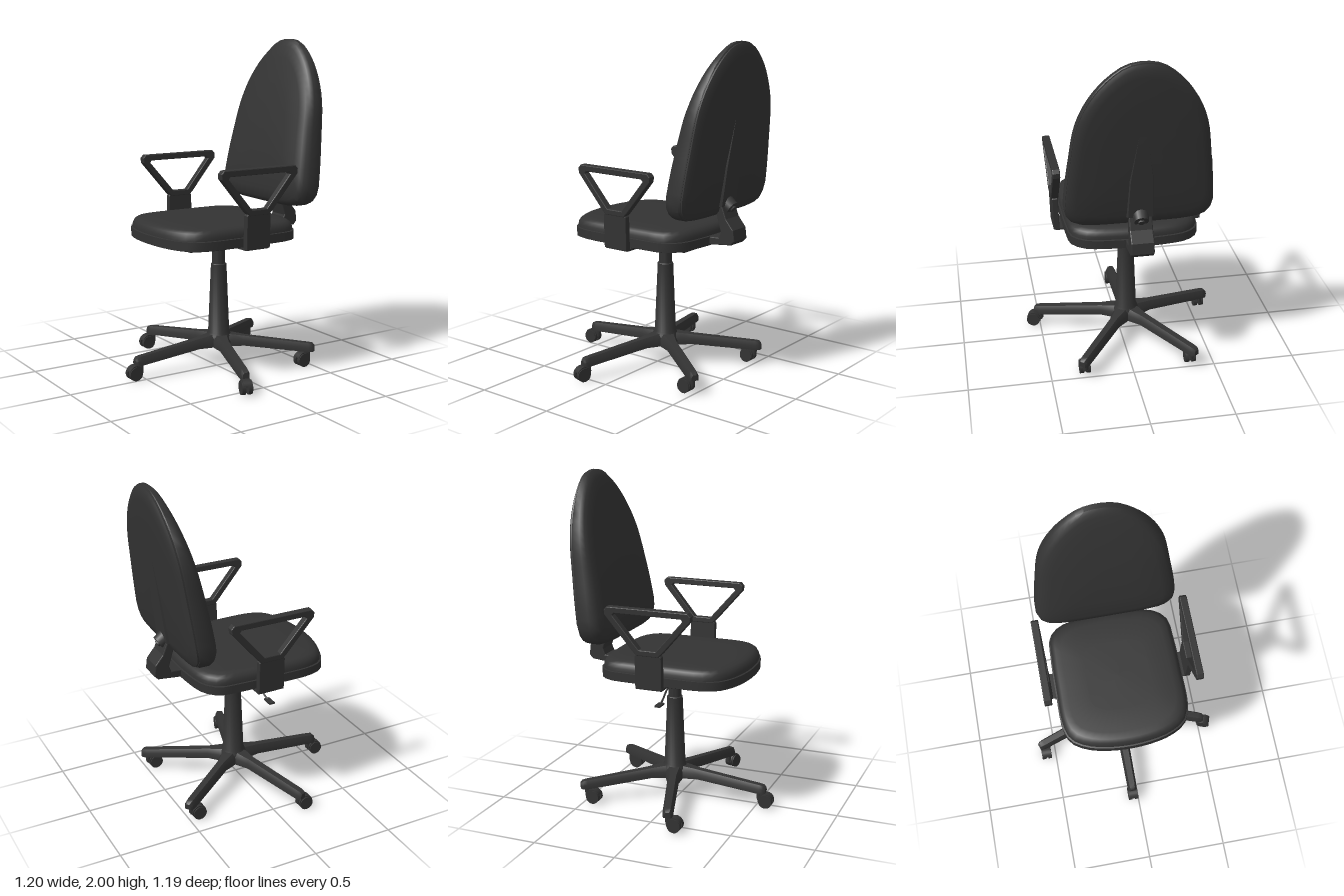
import * as THREE from 'three';
import { toCreasedNormals } from 'three/addons/utils/BufferGeometryUtils.js';

const MAT = new THREE.MeshStandardMaterial({ color: 0x333333 });
const CX = 0.035, CZ = -0.033; // column axis

function add(parent, name, geo, x = 0, y = 0, z = 0) {
  const m = new THREE.Mesh(geo, MAT);
  m.name = name;
  m.position.set(x, y, z);
  parent.add(m);
  return m;
}

// Skin over a list of rings (arrays of [x, y, z]) with equal point counts.
function loft(rings, crease = 0.7) {
  const n = rings[0].length, idx = [];
  for (let i = 0; i < rings.length - 1; i++) {
    for (let j = 0; j < n; j++) {
      const k = (j + 1) % n, a = i * n + j, b = i * n + k;
      idx.push(a, b, b + n, a, b + n, a + n);
    }
  }
  const g = new THREE.BufferGeometry();
  g.setAttribute('position', new THREE.Float32BufferAttribute(rings.flat(2), 3));
  g.setIndex(idx);
  g.computeVertexNormals();
  return toCreasedNormals(g, crease);
}

// Smooth closed outline through 2D points.
function outline(pts, n) {
  const c = new THREE.CatmullRomCurve3(pts.map(([u, v]) => new THREE.Vector3(u, v, 0)), true);
  return c.getSpacedPoints(n).slice(0, n);
}

function extrude(pts, depth, hole, bevel = 0) {
  const v = (a) => a.map(([x, y]) => new THREE.Vector2(x, y));
  const s = new THREE.Shape(v(pts));
  if (hole) s.holes.push(new THREE.Path(v(hole)));
  const g = new THREE.ExtrudeGeometry(s, {
    depth: depth - 2 * bevel, bevelEnabled: bevel > 0, bevelSize: bevel,
    bevelThickness: bevel, bevelOffset: -bevel, bevelSegments: 2,
  });
  return g.translate(0, 0, bevel - depth / 2);
}

function makeSeat(group) {
  // outline as [x, z] around the column axis, one half then mirrored
  const half = [[0.41, 0.12], [0.38, 0.3], [0.31, 0.375], [0.18, 0.39], [-0.05, 0.395],
    [-0.28, 0.39], [-0.37, 0.355], [-0.43, 0.26], [-0.465, 0.1]];
  const pts = [...half.map(([x, z]) => [x, -z]), ...[...half].reverse()];
  const o = outline(pts, 56);
  const ring = ([s, y]) => o.map((p) => [-0.03 + (p.x + 0.03) * s, y, CZ + p.y * s]);
  add(group, 'seatPan', loft([[0, 0.815], [0.97, 0.815], [1, 0.82], [1, 0.872], [0.97, 0.876], [0, 0.876]].map(ring)));
  add(group, 'seatCushion', loft([[0, 0.87], [0.98, 0.87], [0.98, 0.895], [0.955, 0.918],
    [0.91, 0.932], [0.82, 0.938], [0.5, 0.941], [0, 0.942]].map(ring)));
}

function makeBackrest(group) {
  // outline as [z, y], from the top down the -z side and back up
  const half = [[0.08, 1.995], [0.2, 1.915], [0.3, 1.79], [0.365, 1.64], [0.4, 1.42],
    [0.425, 1.2], [0.425, 1.09], [0.38, 1.03], [0.28, 1.008], [0.1, 1.003]];
  const pts = [...half.map(([z, y]) => [-z, y]), ...[...half].reverse()];
  const o = outline(pts, 60);
  const ring = ([s, d]) => o.map((p) => {
    const y = 1.47 + (p.y - 1.47) * s, t = y - 1;
    return [0.447 + t * 0.13 + d * (d < 0 ? 1 - 0.6 * t * t : 1), y, CZ + p.x * s];
  });
  add(group, 'backCushion', loft([[0, 0], [0.99, 0], [1, -0.01], [1, -0.07], [0.97, -0.105],
    [0.92, -0.125], [0.8, -0.14], [0.5, -0.15], [0, -0.152]].map(ring)));
  add(group, 'backShell', loft([[0, 0.036], [0.5, 0.035], [0.85, 0.031], [0.94, 0.024],
    [0.985, 0.01], [0.985, -0.01]].map(ring)));
  // tapering spine raised on the shell
  const spine = [[1.06, 0.085], [1.3, 0.075], [1.62, 0.02]].map(([y, w]) => {
    const x = 0.447 + (y - 1) * 0.13 + 0.02, d = y > 1.6 ? 0.014 : 0.026;
    return [[x, y, CZ - w], [x, y, CZ + w], [x + d, y, CZ + w * 0.85], [x + d, y, CZ - w * 0.85]];
  });
  add(group, 'backSpine', loft(spine, 0.4)).material = MAT;
}

function makeSupport(group) {
  const bracket = [[0.25, 0.83], [0.42, 0.825], [0.56, 0.84], [0.583, 0.865], [0.575, 0.93], [0.525, 0.99],
    [0.49, 1.08], [0.455, 1.08], [0.455, 1.02], [0.488, 0.91], [0.475, 0.875], [0.25, 0.865]];
  add(group, 'backBracket', extrude(bracket, 0.135, null, 0.006), 0, 0, CZ);
  const knob = add(group, 'backKnob', new THREE.CylinderGeometry(0.042, 0.05, 0.06, 12), 0.5, 1.06, CZ);
  knob.rotation.z = -Math.PI / 2 - 0.58;
  const bolt = add(group, 'knobBolt', new THREE.CylinderGeometry(0.02, 0.02, 0.08, 6), 0.5, 1.06, CZ);
  bolt.rotation.z = knob.rotation.z;
}

function makeArm(group, s) {
  const arm = new THREE.Group();
  arm.name = s > 0 ? 'leftArmrest' : 'rightArmrest';
  arm.position.set(0, 0.81, CZ + s * 0.433);
  arm.rotation.x = s * 0.03;
  group.add(arm);
  // triangular loop
  const frame = [[-0.05, 0.2], [0.085, 0.2], [0.11, 0.225], [0.28, 0.425], [0.283, 0.455], [0.265, 0.475],
    [-0.232, 0.475], [-0.25, 0.455], [-0.247, 0.425], [-0.075, 0.225]];
  const hole = [[-0.035, 0.235], [-0.2, 0.425], [-0.19, 0.438], [0.22, 0.438], [0.23, 0.425], [0.07, 0.235]];
  add(arm, 'armLoop', extrude(frame, 0.044, hole, 0.005));
  // upright sleeve
  const sleeve = [[-0.067, 0], [0.098, 0], [0.098, 0.2], [0.07, 0.233], [-0.04, 0.233], [-0.067, 0.2]];
  add(arm, 'armUpright', extrude(sleeve, 0.036, null, 0.004), 0, 0, 0);
  // strap running under the seat
  add(group, 'armStrap', new THREE.BoxGeometry(0.16, 0.012, 0.25), 0.016, 0.811, CZ + s * 0.315);
}

function makeMechanism(group) {
  const tray = extrude([[-0.09, 0.75], [0.09, 0.75], [0.13, 0.815], [-0.13, 0.815]], 0.47);
  add(group, 'tiltMechanism', tray.rotateY(Math.PI / 2), 0.01, 0, CZ);
  const path = [[0.0, 0.755, -0.1], [0.0, 0.755, -0.2], [-0.01, 0.745, -0.28], [-0.015, 0.715, -0.34], [-0.018, 0.7, -0.38]];
  const curve = new THREE.CatmullRomCurve3(path.map((p) => new THREE.Vector3(...p)));
  add(group, 'heightLever', new THREE.TubeGeometry(curve, 16, 0.006, 6));
  add(group, 'leverPaddle', new THREE.BoxGeometry(0.035, 0.01, 0.07), -0.018, 0.698, -0.4);
}

function makeCastor(group, x, z, heading) {
  const c = new THREE.Group();
  c.name = 'castor';
  c.position.set(x, 0, z);
  c.rotation.y = heading;
  group.add(c);
  add(c, 'castorStem', new THREE.CylinderGeometry(0.016, 0.016, 0.07, 10), 0, 0.085, 0);
  for (const s of [-1, 1]) {
    const wheel = new THREE.CylinderGeometry(0.042, 0.042, 0.024, 18).rotateX(Math.PI / 2);
    add(c, 'castorWheel', wheel, 0.045, 0.042, s * 0.02);
  }
  const hood = new THREE.CylinderGeometry(0.045, 0.045, 0.05, 14, 1, false, 0, Math.PI).rotateX(Math.PI / 2);
  add(c, 'castorHood', hood.rotateZ(Math.PI / 2 + 0.3), 0.043, 0.046, 0);
  add(c, 'castorFork', new THREE.BoxGeometry(0.06, 0.04, 0.026), 0.02, 0.06, 0);
}

function makeBase(group) {
  const section = [[-1, 0], [-1, 0.55], [-0.6, 1], [0.6, 1], [1, 0.55], [1, 0]];
  // radius, half width, bottom, top along a leg
  const stations = [[0, 0.06, 0.125, 0.205], [0.09, 0.05, 0.125, 0.195], [0.16, 0.034, 0.125, 0.185],
    [0.56, 0.03, 0.088, 0.142], [0.585, 0.027, 0.088, 0.138], [0.597, 0.018, 0.092, 0.125], [0.597, 0, 0.1, 0.1]];
  const leg = loft(stations.map(([r, w, lo, hi]) => section.map(([u, v]) => [r, lo + (hi - lo) * v, u * w])));
  for (let i = 0; i < 5; i++) {
    const a = Math.PI + (i * 2 * Math.PI) / 5;
    add(group, 'baseLeg', leg, CX, 0, CZ).rotation.y = a;
    const x = CX + 0.555 * Math.cos(a), z = CZ - 0.555 * Math.sin(a);
    // one castor trails outward, the others trail toward the front
    const outward = z > 0.45;
    makeCastor(group, x, z, outward ? a : Math.PI);
  }
  const profile = [[0, 0.12], [0.075, 0.12], [0.085, 0.15], [0.078, 0.19], [0.066, 0.21], [0.048, 0.638], [0.044, 0.642],
    [0.04, 0.642], [0.04, 0.8], [0, 0.8]].map(([x, y]) => new THREE.Vector2(x, y));
  add(group, 'column', toCreasedNormals(new THREE.LatheGeometry(profile, 24), 0.6), CX, 0, CZ);
}

export function createModel() {
  const group = new THREE.Group();
  group.name = 'officeChair';
  makeSeat(group);
  makeBackrest(group);
  makeSupport(group);
  makeArm(group, 1);
  makeArm(group, -1);
  makeMechanism(group);
  makeBase(group);
  return group;
}
